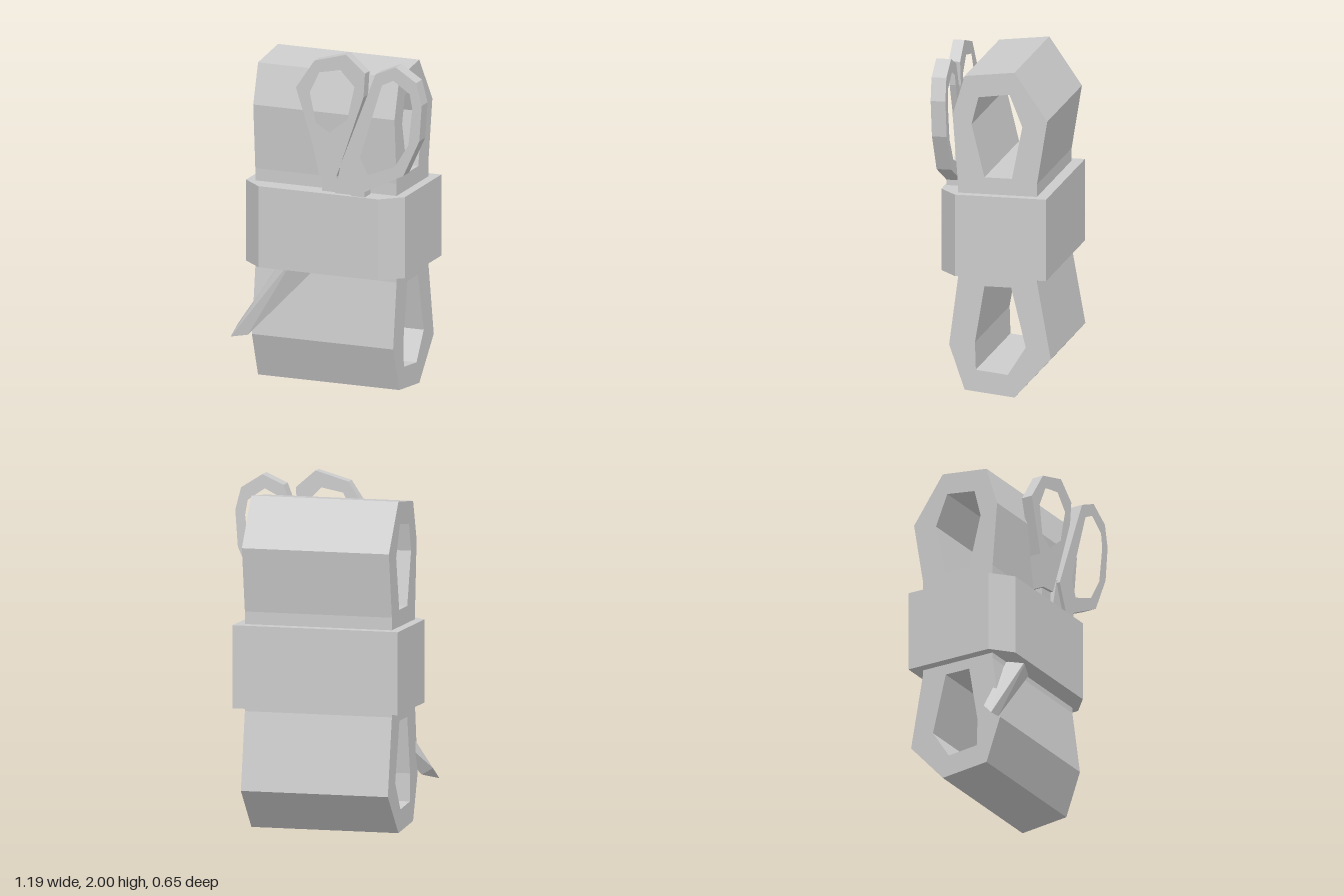
import * as THREE from 'three';
import { ConvexGeometry } from 'three/addons/geometries/ConvexGeometry.js';

const material = new THREE.MeshStandardMaterial({ color: 0xcccccc, flatShading: true });

const toPoints = (list) => list.map(([x, y]) => new THREE.Vector2(x, y));

// Flat-sided prism from an outline with optional holes
function prism(outline, holes, depth) {
  const shape = new THREE.Shape(toPoints(outline));
  holes.forEach((h) => shape.holes.push(new THREE.Path(toPoints(h))));
  return new THREE.ExtrudeGeometry(shape, { depth, bevelEnabled: false });
}

export function createModel() {
  const group = new THREE.Group();
  const add = (name, geometry) => {
    const mesh = new THREE.Mesh(geometry, material);
    mesh.name = name;
    group.add(mesh);
  };

  // Folded roll: side profile (z, y) with a loop opening above and below the strap
  const rollOutline = [
    [-0.12, 0.0], [-0.33, 0.235], [-0.25, 0.68], [-0.25, 1.25], [-0.31, 1.62], [-0.12, 1.895],
    [0.17, 1.86], [0.24, 1.63], [0.21, 1.25], [0.21, 0.67], [0.26, 0.29], [0.17, 0.03],
  ];
  const upperLoop = [[0.09, 1.74], [-0.09, 1.765], [-0.165, 1.58], [-0.105, 1.275], [0.055, 1.275], [0.13, 1.58]];
  const lowerLoop = [[0.055, 0.64], [-0.1, 0.64], [-0.185, 0.295], [-0.08, 0.13], [0.105, 0.15], [0.11, 0.31]];
  const roll = prism(rollOutline, [upperLoop, lowerLoop], 0.868);
  roll.rotateY(-Math.PI / 2).translate(0.392, 0, 0);
  add('foldedRoll', roll);

  // Strap: plan outline (x, z) with chamfered front corners
  const strap = prism([
    [-0.53, -0.315], [0.445, -0.315], [0.445, 0.215], [0.325, 0.32], [-0.41, 0.32], [-0.53, 0.215],
  ], [], 0.475);
  strap.rotateX(Math.PI / 2).translate(0, 1.178, 0);
  add('strap', strap);

  // Scissor handles lean forward slightly towards the top
  function handle(name, outline, hole, depth, z) {
    const g = prism(outline, hole ? [hole] : [], depth);
    const p = g.attributes.position;
    for (let i = 0; i < p.count; i++) p.setZ(i, p.getZ(i) + z + 0.018 * (p.getY(i) - 1.2));
    g.computeVertexNormals();
    add(name, g);
  }

  handle('upperScissorHandle', [
    [-0.19, 1.775], [-0.075, 1.945], [0.12, 2.0], [0.235, 1.9], [0.225, 1.76],
    [0.055, 1.275], [-0.05, 1.265], [-0.09, 1.455],
  ], [
    [-0.045, 1.88], [0.085, 1.905], [0.17, 1.815], [0.125, 1.62], [0.015, 1.53], [-0.07, 1.58], [-0.105, 1.755],
  ], 0.066, 0.22);

  handle('lowerScissorHandle', [
    [0.31, 1.91], [0.435, 1.965], [0.56, 1.885], [0.593, 1.755], [0.577, 1.545], [0.477, 1.33],
    [0.238, 1.21], [0.238, 1.15], [0.17, 1.15], [0.085, 1.34],
  ], [
    [0.35, 1.85], [0.42, 1.885], [0.52, 1.815], [0.535, 1.73], [0.51, 1.515], [0.424, 1.377], [0.26, 1.313], [0.21, 1.41],
  ], 0.086, 0.225);

  // Shanks running from the handles into the strap
  handle('upperShank', [[-0.04, 1.1], [0.05, 1.1], [0.055, 1.3], [-0.04, 1.3]], null, 0.045, 0.225);
  handle('lowerShank', [[0.03, 1.1], [0.19, 1.1], [0.155, 1.18], [0.1, 1.36], [0.085, 1.36]], null, 0.06, 0.23);

  // Closed blades: ridged wedge emerging below the strap and ending in a point
  add('scissorBlades', new ConvexGeometry([
    [-0.263, 0.8, 0.21], [-0.187, 0.8, 0.288], [-0.01, 0.8, 0.21],
    [-0.58, 0.33, 0.215], [-0.6, 0.265, 0.275], [-0.5, 0.283, 0.262],
  ].map((v) => new THREE.Vector3(...v))));

  return group;
}
